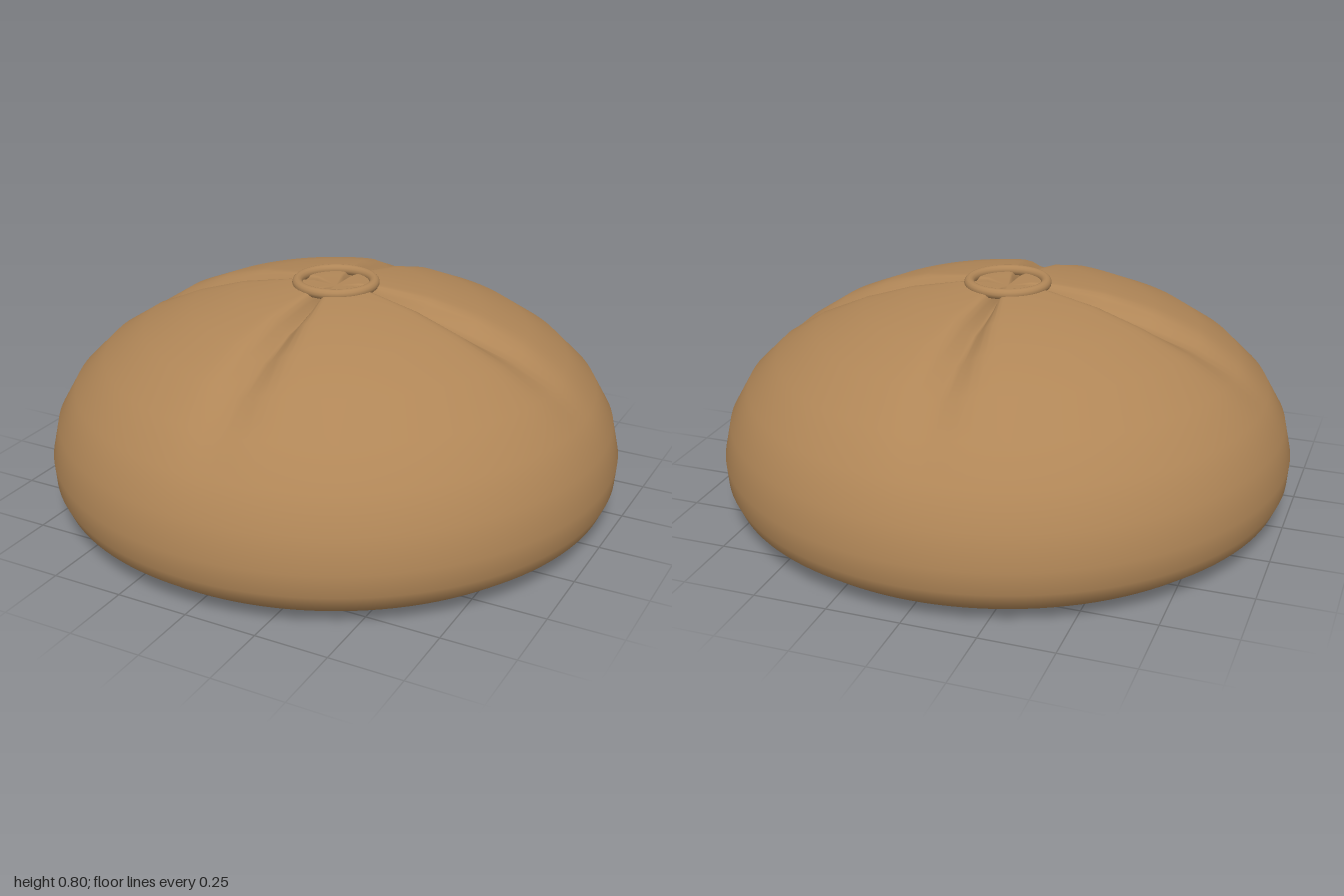
import * as THREE from 'three';
import { mergeVertices } from 'three/addons/utils/BufferGeometryUtils.js';

export function createModel() {
  const model = new THREE.Group();
  const brown = new THREE.MeshStandardMaterial({ color: 0xb08657 });
  brown.name = 'warm brown';

  // Domed body: a lathe from the underside centre to the crown
  const profile = [
    [0, 0.005], [0.3, 0.007], [0.55, 0.011], [0.76, 0.018], [0.92, 0.04], [0.972, 0.08], [0.994, 0.13],
    [1, 0.21], [0.975, 0.325], [0.91, 0.44], [0.805, 0.545], [0.665, 0.638],
    [0.5, 0.71], [0.335, 0.757], [0.165, 0.782], [0.08, 0.786], [0, 0.787],
  ].map(([r, y]) => new THREE.Vector2(r, y));
  let dome = new THREE.LatheGeometry(profile, 128);

  // Four soft creases run from the crown down the front, back and sides
  const pos = dome.attributes.position;
  for (let i = 0; i < pos.count; i++) {
    const x = pos.getX(i), y = pos.getY(i), z = pos.getZ(i);
    if (y < 0.22) continue;
    const r = Math.hypot(x, z);
    const quarter = Math.PI / 2;
    const angle = Math.atan2(z, x);
    const off = angle - Math.round(angle / quarter) * quarter;
    const fade = 1 - THREE.MathUtils.smoothstep(r, 0.4, 0.98);
    const centre = THREE.MathUtils.smoothstep(r, 0, 0.12);
    const dip = 0.055 * fade * (0.3 + 0.7 * centre) * Math.exp(-((off / 0.11) ** 2));
    pos.setY(i, y - (r < 1e-4 ? 0.015 : dip));
  }

  // Weld the seam and poles so the shading stays smooth
  dome.deleteAttribute('uv');
  dome.deleteAttribute('normal');
  dome = mergeVertices(dome, 1e-4);
  dome.computeVertexNormals();
  const body = new THREE.Mesh(dome, brown);
  body.name = 'creasedDome';
  model.add(body);

  // Ring resting on the crown
  const ring = new THREE.Mesh(new THREE.TorusGeometry(0.133, 0.018, 12, 48), brown);
  ring.name = 'crownRing';
  ring.rotation.x = Math.PI / 2;
  ring.position.y = 0.786;
  model.add(ring);

  return model;
}
